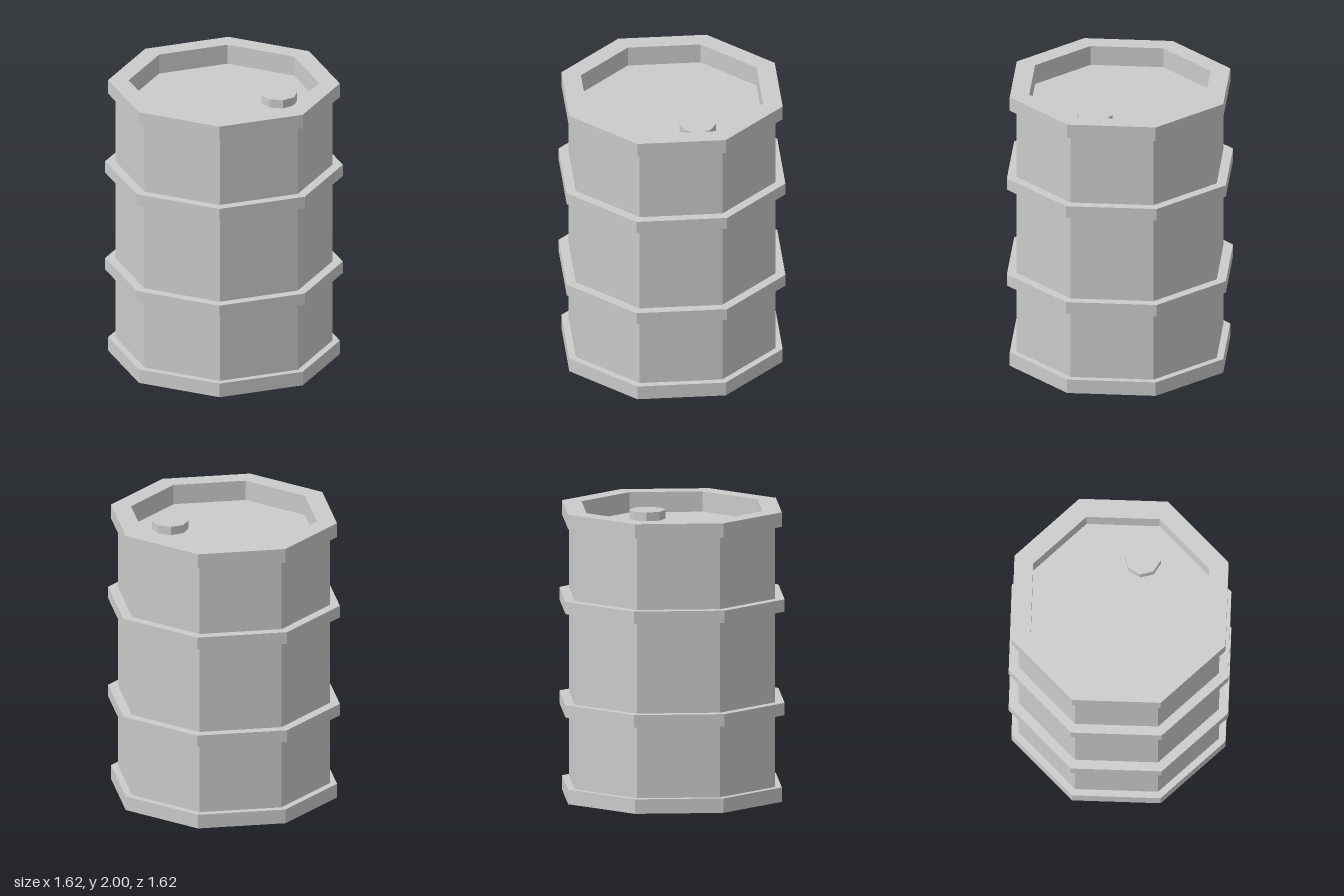
import * as THREE from 'three';

const SIDES = 8;
const BODY_R = 0.74, RIM_R = 0.79, HOOP_R = 0.81, LID_R = 0.65;
const HEIGHT = 2, RIM_H = 0.1, RECESS = 0.14;

export function createModel() {
  const group = new THREE.Group();
  group.name = 'barrel';
  const material = new THREE.MeshStandardMaterial({ color: 0xcccccc, flatShading: true });

  const add = (name, geometry) => {
    const mesh = new THREE.Mesh(geometry, material);
    mesh.name = name;
    group.add(mesh);
    return mesh;
  };
  // Eight-sided turned part; each profile point is [radius, height]
  const turned = (name, profile) => {
    const points = profile.map(([r, y]) => new THREE.Vector2(r, y));
    const geometry = new THREE.LatheGeometry(points, SIDES).toNonIndexed();
    geometry.computeVertexNormals();
    return add(name, geometry);
  };

  // Side wall between the two rims
  turned('body', [[BODY_R, RIM_H], [BODY_R, HEIGHT - RIM_H]]);

  // End rims, running inward and down to the recessed lids
  const rim = [
    [BODY_R, HEIGHT - RIM_H], [RIM_R, HEIGHT - RIM_H], [RIM_R, HEIGHT],
    [LID_R, HEIGHT], [LID_R, HEIGHT - RECESS],
  ];
  turned('topRim', rim);
  turned('bottomRim', rim.map(([r, y]) => [r, HEIGHT - y]).reverse());

  // Hoops around the body
  for (const [name, y0, y1] of [['lowerHoop', 0.6, 0.685], ['upperHoop', 1.315, 1.4]]) {
    turned(name, [[BODY_R, y0], [HOOP_R, y0], [HOOP_R, y1], [BODY_R, y1]]);
  }

  // Recessed lids, facing up and down
  for (const [name, y, tilt] of [['topLid', HEIGHT - RECESS, -1], ['bottomLid', RECESS, 1]]) {
    const lid = add(name, new THREE.CircleGeometry(LID_R, SIDES).rotateX(tilt * Math.PI / 2));
    lid.position.y = y;
  }

  // Filler cap on the top lid
  const cap = add('fillerCap', new THREE.CylinderGeometry(0.124, 0.124, 0.06, SIDES));
  cap.position.set(0.266, HEIGHT - RECESS + 0.03, 0.266);
  cap.rotation.y = 0.26;

  return group;
}
